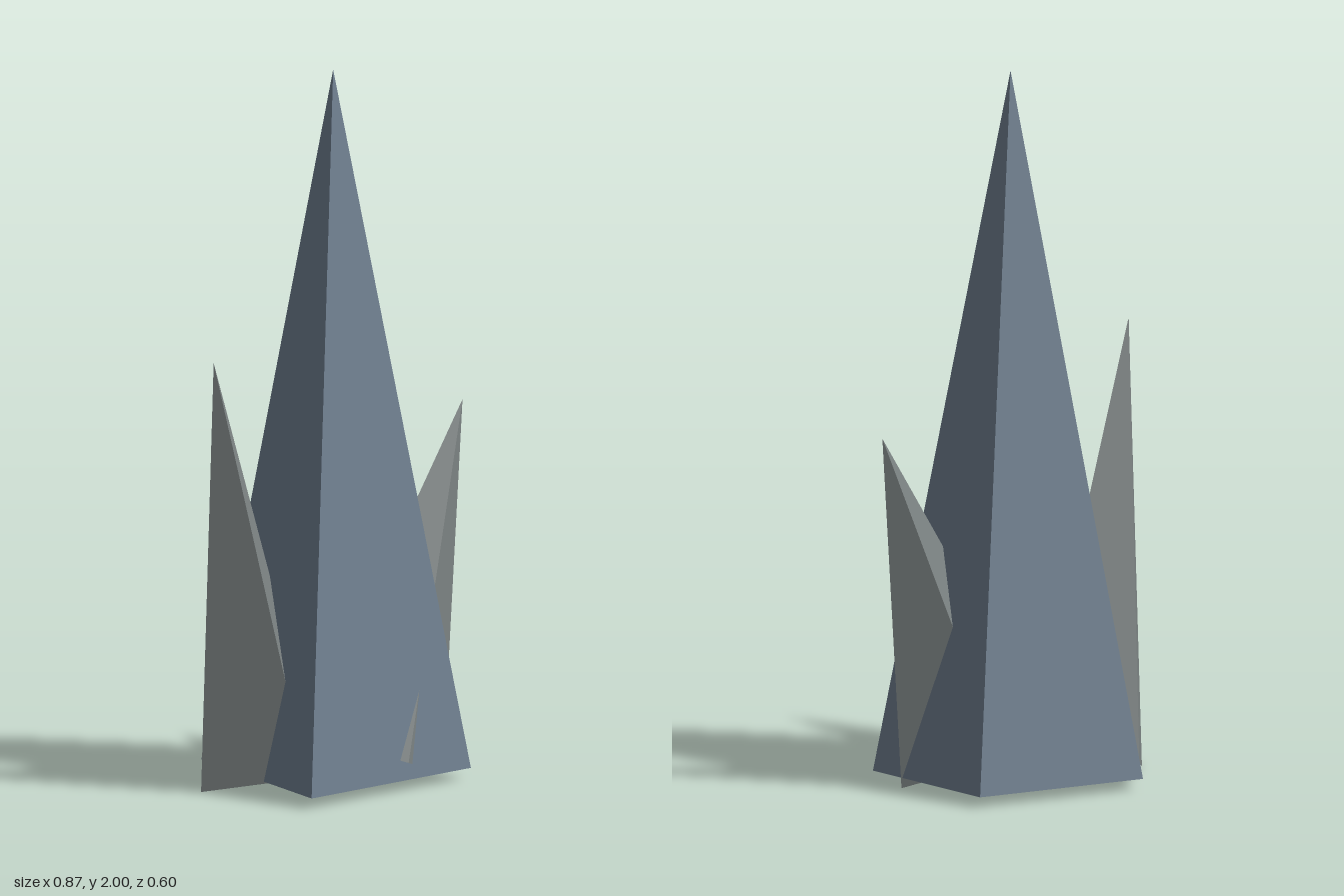
import * as THREE from 'three';

// Closed four-sided spike; base corners run counterclockwise seen from above
function spike(name, color, apex, base) {
  const [a, b, c, d] = base;
  const points = [];
  base.forEach((p, i) => points.push(...p, ...base[(i + 1) % 4], ...apex));
  points.push(...a, ...c, ...b, ...a, ...d, ...c); // underside
  const geometry = new THREE.BufferGeometry();
  geometry.setAttribute('position', new THREE.Float32BufferAttribute(points, 3));
  geometry.computeVertexNormals();
  const mesh = new THREE.Mesh(geometry, new THREE.MeshStandardMaterial({ color, flatShading: true }));
  mesh.name = name;
  return mesh;
}

export function createModel() {
  const group = new THREE.Group();
  group.name = 'rockSpires';
  const slate = 0x708090, grey = 0x7d8484;

  // Tall central spire
  group.add(spike('mainSpire', slate, [0, 2, 0.03], [
    [0.32, 0.03, 0.235], [0.285, 0.03, -0.2], [-0.205, 0.03, -0.3], [-0.275, 0.03, 0.295],
  ]));
  // Outward-leaning side spires with tilted bases
  group.add(spike('rightSpire', grey, [-0.435, 1.235, 0.06], [
    [-0.38, 0, -0.07], [-0.15, 0.04, 0.11], [0.03, 0.11, -0.11], [-0.2, 0.07, -0.29],
  ]));
  group.add(spike('leftSpire', grey, [0.435, 1.02, 0.045], [
    [0.31, 0, 0.12], [0.09, 0.08, -0.05], [-0.14, 0.16, 0.1], [0.08, 0.08, 0.268],
  ]));
  return group;
}
